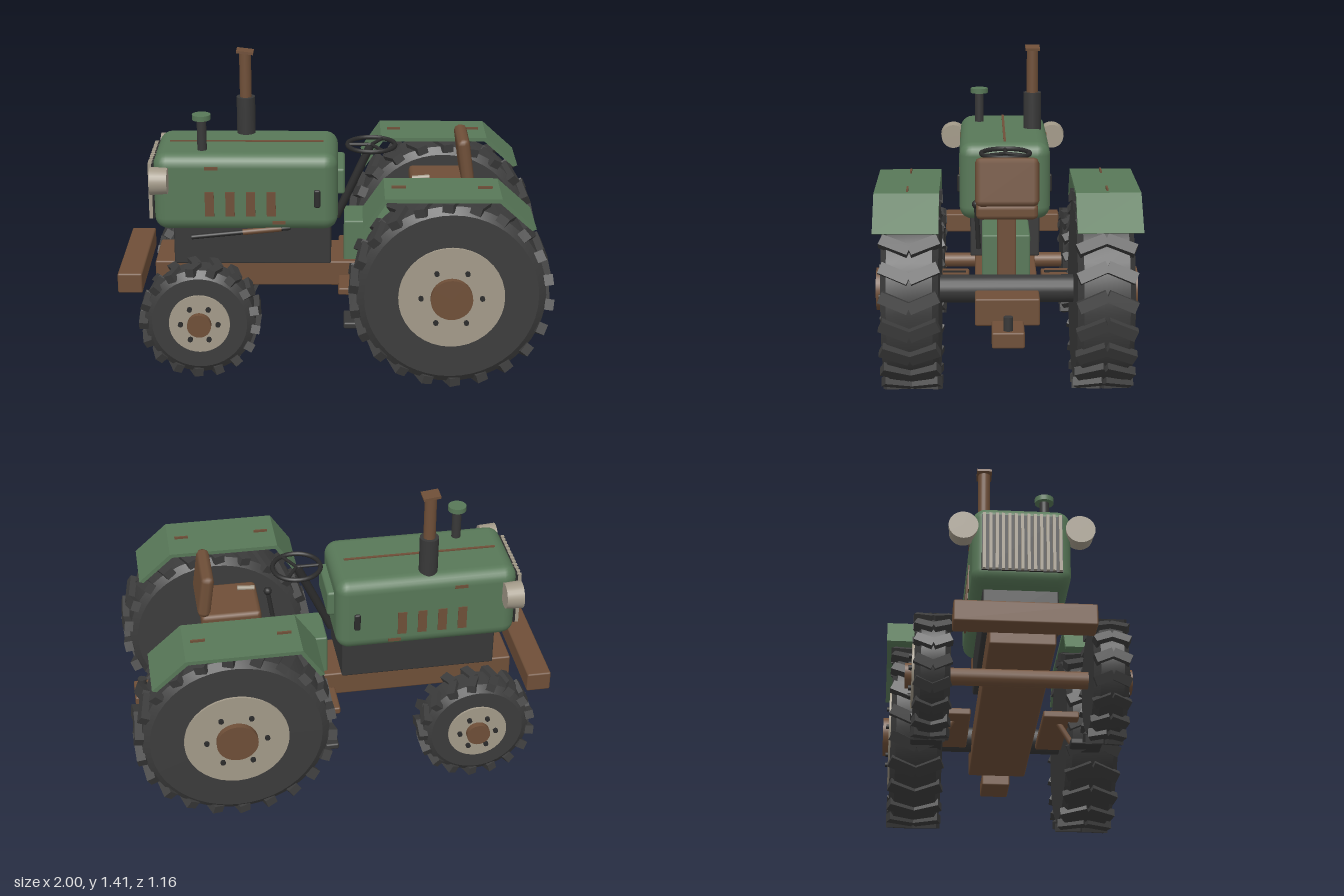
import * as THREE from 'three';
import { mergeGeometries, toCreasedNormals } from 'three/addons/utils/BufferGeometryUtils.js';
import { RoundedBoxGeometry } from 'three/addons/geometries/RoundedBoxGeometry.js';

export function createModel() {
  const mat = (name, color) => {
    const m = new THREE.MeshStandardMaterial({ color });
    m.name = name;
    return m;
  };
  const green = mat('greenPaint', 0x587858);
  const brown = mat('rustBrown', 0x6f4f38);
  const rubber = mat('darkRubber', 0x3c3c3c);
  const iron = mat('darkIron', 0x383838);
  const beige = mat('paleMetal', 0xa39a89);
  const black = mat('blackTrim', 0x2b2b2b);

  const tractor = new THREE.Group();
  tractor.name = 'tractor';

  // Helpers: mesh, box from extents, rounded box, rod between two points
  const add = (name, geo, m, x = 0, y = 0, z = 0, parent = tractor) => {
    const mesh = new THREE.Mesh(geo, m);
    mesh.name = name;
    mesh.position.set(x, y, z);
    parent.add(mesh);
    return mesh;
  };
  const span = (name, m, x0, x1, y0, y1, z0, z1, r = 0.008) => add(name,
    new RoundedBoxGeometry(x1 - x0, y1 - y0, z1 - z0, 1, r),
    m, (x0 + x1) / 2, (y0 + y1) / 2, (z0 + z1) / 2);
  const plate = (name, m, w, h, d, x, y, z) => add(name, new THREE.BoxGeometry(w, h, d), m, x, y, z);
  const post = (name, m, r, y0, y1, x, z, sides = 20) =>
    add(name, new THREE.CylinderGeometry(r, r, y1 - y0, sides), m, x, (y0 + y1) / 2, z);
  const rod = (name, m, r, a, b) => {
    const p = new THREE.Vector3(...a), q = new THREE.Vector3(...b);
    const mesh = add(name, new THREE.CylinderGeometry(r, r, p.distanceTo(q), 10), m);
    mesh.position.copy(p).add(q).multiplyScalar(0.5);
    mesh.quaternion.setFromUnitVectors(new THREE.Vector3(0, 1, 0), q.sub(p).normalize());
    return mesh;
  };
  const disc = (r, d, sides = 36) => new THREE.CylinderGeometry(r, r, d, sides).rotateX(Math.PI / 2);

  // Wheel with chevron lugs; its outer side faces local +z
  function wheel(name, o) {
    const g = new THREE.Group();
    g.name = name;
    const w = o.width / 2, R = o.bodyR;
    const profile = [[0, -w], [R - 0.035, -w], [R, -w + 0.025], [R, w - 0.025], [R - 0.035, w], [0, w]]
      .map(([x, y]) => new THREE.Vector2(x, y));
    add('tyre', toCreasedNormals(new THREE.LatheGeometry(profile, 48).rotateX(Math.PI / 2), 0.4), rubber, 0, 0, 0, g);

    const lugs = [];
    for (let i = 0; i < o.lugs; i++) {
      for (const s of [1, -1]) {
        lugs.push(new THREE.BoxGeometry(0.04, o.lugWidth, w * 1.08)
          .rotateX(-0.4 * s)
          .translate(o.lugR - 0.02, 0, s * w * 0.5)
          .rotateZ((i + 0.5) / o.lugs * Math.PI * 2));
      }
    }
    add('treadLugs', mergeGeometries(lugs), rubber, 0, 0, 0, g).scale.x = o.stretch;

    add('rim', disc(o.rimR, 0.04), beige, 0, 0, w - 0.01, g);
    add('hub', disc(o.hubR, 0.06), brown, 0, 0, w + 0.008, g);
    for (let i = 0; i < 6; i++) {
      const a = i * Math.PI / 3;
      add('wheelBolt', disc(0.012, 0.03, 8), black, Math.cos(a) * o.boltR, Math.sin(a) * o.boltR, w + 0.008, g);
    }
    tractor.add(g);
    return g;
  }

  for (const s of [1, -1]) {
    const rear = wheel('rearWheel', { width: 0.245, bodyR: 0.428, lugR: 0.444, lugs: 22, lugWidth: 0.05,
      stretch: 1.04, rimR: 0.24, hubR: 0.095, boltR: 0.138 });
    rear.position.set(0.535, 0.445, s * 0.418);
    const front = wheel('frontWheel', { width: 0.15, bodyR: 0.253, lugR: 0.27, lugs: 17, lugWidth: 0.04,
      stretch: 1.03, rimR: 0.14, hubR: 0.055, boltR: 0.086 });
    front.position.set(-0.61, 0.272, s * 0.375);
    if (s < 0) rear.rotation.y = front.rotation.y = Math.PI;

    // Bent fender plate with two small slots
    const top = [[0.135, 0.785], [0.23, 0.925], [0.745, 0.925], [0.9, 0.785]];
    const under = [[0.88, 0.778], [0.735, 0.907], [0.24, 0.907], [0.155, 0.778]];
    const shape = new THREE.Shape([...top, ...under].map(([x, y]) => new THREE.Vector2(x, y)));
    add('fender', new THREE.ExtrudeGeometry(shape, { depth: 0.28, bevelEnabled: false }), green,
      0, 0, s * 0.433 - 0.14);
    for (const x of [0.295, 0.68]) plate('fenderSlot', brown, 0.065, 0.014, 0.008, x, 0.929, s * 0.43);

    // Foot platform with grip ribs, step and its bracket
    span('footPlatform', brown, 0.025, 0.45, 0.365, 0.4, s * 0.255 - 0.085, s * 0.255 + 0.085);
    for (let i = 0; i < 4; i++) plate('gripRib', black, 0.012, 0.008, 0.11, 0.1 + i * 0.075, 0.403, s * 0.24);
    span('step', iron, 0.05, 0.19, 0.245, 0.275, s * 0.375 - 0.075, s * 0.375 + 0.075);
    rod('stepBracket', brown, 0.014, [0.12, 0.26, s * 0.32], [0.12, 0.375, s * 0.25]);

    // Headlight
    add('headlight', new THREE.CylinderGeometry(0.065, 0.06, 0.08, 28).rotateZ(Math.PI / 2), beige,
      -0.795, 0.895, s * 0.255);

    // Hood side louvres, latches and handle
    for (let i = 0; i < 4; i++) plate('louvre', brown, 0.042, 0.118, 0.009, -0.57 + i * 0.095, 0.768, s * 0.216);
    plate('upperLatch', brown, 0.062, 0.016, 0.009, -0.56, 0.94, s * 0.214);
    plate('lowerLatch', brown, 0.06, 0.016, 0.009, -0.25, 0.676, s * 0.214);
    span('sideHandle', black, -0.088, -0.058, 0.752, 0.838, s * 0.217 - 0.01, s * 0.217 + 0.01);
  }

  // Frame, engine and axles
  span('chassis', brown, -0.84, 0.74, 0.33, 0.452, -0.142, 0.142);
  span('engineBlock', iron, -0.745, -0.01, 0.45, 0.66, -0.165, 0.165);
  add('rearAxle', disc(0.062, 0.64, 16), iron, 0.54, 0.445, 0);
  add('frontAxle', disc(0.038, 0.64, 12), brown, -0.61, 0.275, 0);
  span('frontBumper', brown, -1, -0.885, 0.355, 0.452, -0.3, 0.3);
  span('hitchPlate', brown, 0.785, 0.97, 0.3, 0.37, -0.07, 0.07);
  post('hitchPin', iron, 0.021, 0.36, 0.43, 0.93, 0, 12);

  // Hood with centre strip and dashboard
  span('hood', green, -0.83, 0.022, 0.63, 1.002, -0.216, 0.216, 0.062).geometry =
    new RoundedBoxGeometry(0.852, 0.372, 0.432, 3, 0.062);
  plate('hoodStrip', brown, 0.72, 0.008, 0.012, -0.405, 1.003, 0);
  span('dashboard', green, 0, 0.055, 0.785, 0.91, -0.13, 0.13, 0.012);

  // Grille
  plate('grilleBacking', black, 0.009, 0.27, 0.35, -0.833, 0.815, 0);
  for (let i = 0; i < 13; i++) plate('grilleBar', beige, 0.022, 0.27, 0.013, -0.844, 0.815, (i - 6) * 0.0275);

  // Exhaust and air intake
  post('exhaustMuffler', iron, 0.044, 0.99, 1.18, -0.415, -0.142);
  post('exhaustPipe', brown, 0.028, 1.17, 1.395, -0.415, -0.142);
  plate('exhaustFlap', brown, 0.08, 0.012, 0.07, -0.415, 1.4, -0.142).rotation.z = -0.12;
  post('intakePipe', iron, 0.022, 0.99, 1.15, -0.605, 0.12);
  post('intakeCap', green, 0.043, 1.148, 1.172, -0.605, 0.12);

  // Linkage along the engine
  rod('steeringLink', black, 0.011, [-0.66, 0.592, 0.185], [-0.2, 0.64, 0.185]);
  rod('linkSleeve', brown, 0.014, [-0.42, 0.617, 0.185], [-0.24, 0.636, 0.185]);

  // Steering column and wheel
  rod('steeringColumn', black, 0.02, [0.015, 0.63, 0], [0.175, 0.985, 0]);
  add('steeringWheel', new THREE.TorusGeometry(0.112, 0.011, 8, 32).rotateX(Math.PI / 2), black, 0.178, 0.988, 0);
  for (let i = 0; i < 3; i++) {
    const a = i * Math.PI * 2 / 3 + Math.PI;
    rod('steeringSpoke', black, 0.008, [0.178, 0.988, 0], [0.178 + 0.11 * Math.cos(a), 0.988, 0.11 * Math.sin(a)]);
  }

  // Driver seat, transmission cover and levers
  span('transmissionCover', green, 0.05, 0.365, 0.44, 0.645, -0.11, 0.11);
  span('seatPost', brown, 0.44, 0.53, 0.44, 0.8, -0.042, 0.042);
  span('seatCushion', brown, 0.36, 0.64, 0.78, 0.845, -0.136, 0.136, 0.02);
  const back = span('seatBack', brown, 0.583, 0.643, 0.838, 1.052, -0.14, 0.14, 0.025);
  back.rotation.z = 0.14;
  rod('gearLever', black, 0.011, [0.27, 0.56, 0.125], [0.3, 0.77, 0.135]);
  add('gearKnob', new THREE.SphereGeometry(0.02, 12, 8), black, 0.3, 0.775, 0.135);
  rod('seatLever', beige, 0.012, [0.37, 0.845, 0.07], [0.45, 0.852, 0.07]);

  return tractor;
}
